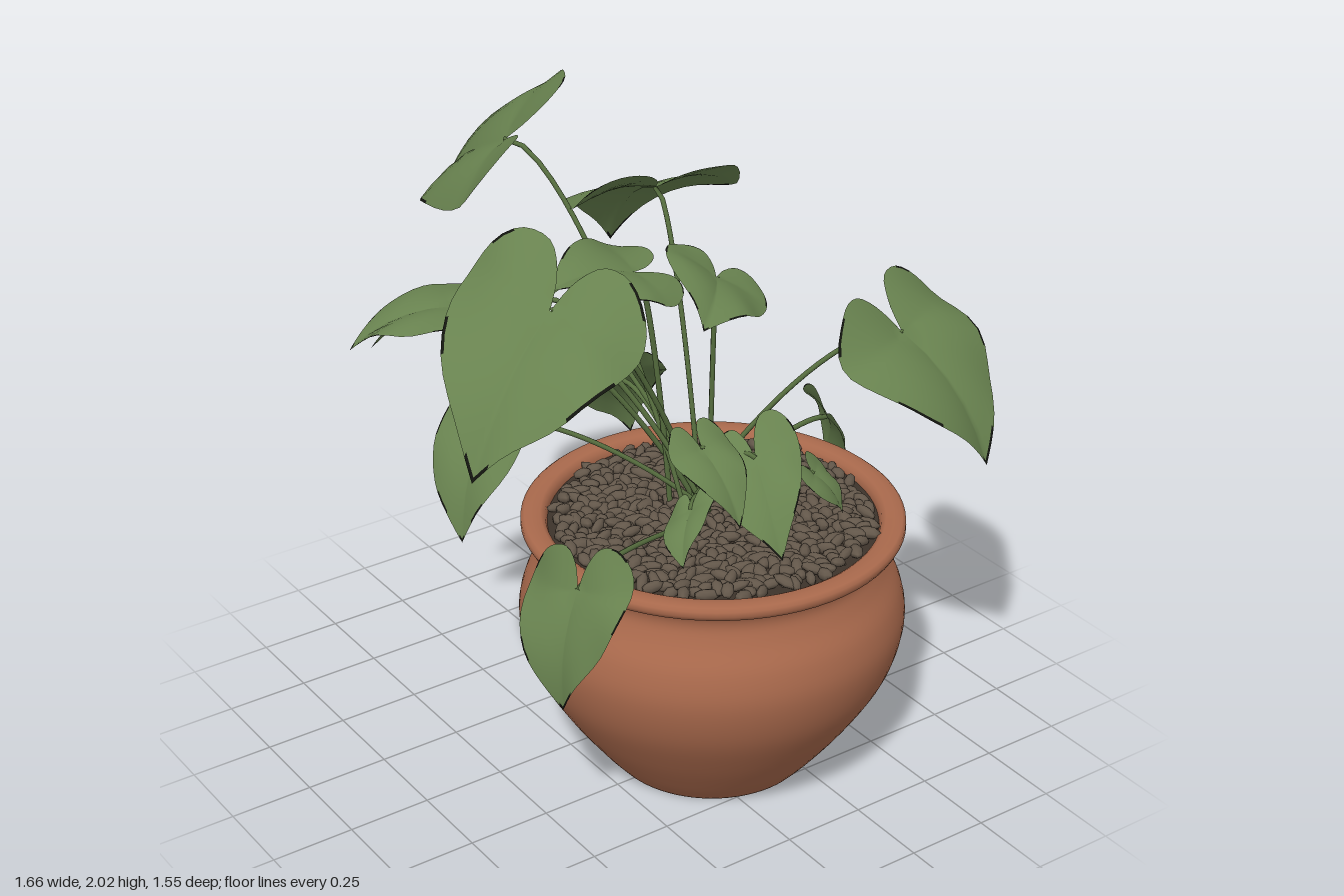
import * as THREE from 'three';
import { mergeGeometries } from 'three/addons/utils/BufferGeometryUtils.js';

const V = (p) => new THREE.Vector3(...p);
const toV2 = (list) => list.map(([x, y]) => new THREE.Vector2(x, y));
const POT = { x: 0.105, z: 0.22 };

const mat = (name, color, side = THREE.FrontSide) => {
  const m = new THREE.MeshStandardMaterial({ color, side });
  m.name = name;
  return m;
};

function seeded(seed) {
  let s = seed;
  return () => (s = (s * 16807) % 2147483647) / 2147483647;
}

// Each leaf: stalk joint, tip, half width and roll about the midrib
const LEAVES = [
  { name: 'topBackLeaf', at: [-0.2, 1.81, -0.37], tip: [-0.17, 1.48, -0.77], width: 0.225, roll: 0.8 },
  { name: 'bigLeftLeaf', at: [-0.47, 1.6, 0.27], tip: [-0.8, 1.25, 0.4], width: 0.28, roll: 0.2 },
  { name: 'upperMiddleLeaf', at: [-0.1, 1.56, 0.12], tip: [-0.38, 1.57, 0.11], width: 0.17, roll: 0.2 },
  { name: 'upperFrontLeaf', at: [0.09, 1.54, 0.24], tip: [-0.09, 1.5, 0.43], width: 0.16, roll: 0.5 },
  { name: 'upperBackLeaf', at: [0.11, 1.69, -0.08], tip: [0.2, 1.38, -0.44], width: 0.245 },
  { name: 'bigRightLeaf', at: [0.56, 1.34, 0.48], tip: [0.67, 1.0, 0.74], width: 0.27, roll: -0.05 },
  { name: 'farLeftLeaf', at: [-0.58, 1.52, -0.05], tip: [-0.83, 1.41, -0.17], width: 0.15 },
  { name: 'backLeftLeaf', at: [-0.38, 1.45, -0.17], tip: [-0.64, 1.27, -0.4], width: 0.215, roll: -0.25 },
  { name: 'lowBackLeaf', at: [-0.08, 1.29, -0.36], tip: [-0.08, 1.0, -0.65], width: 0.16, roll: 0.2 },
  { name: 'hangingLeftLeaf', at: [-0.5, 0.84, 0.43], tip: [-0.57, 0.5, 0.46], width: 0.17, roll: -0.2 },
  { name: 'sideLeftLeaf', at: [-0.43, 1.08, -0.14], tip: [-0.56, 0.77, -0.07], width: 0.15, roll: -0.2 },
  { name: 'lowFrontLeaf', at: [0.13, 1.03, 0.38], tip: [0.08, 0.81, 0.58], width: 0.135, roll: -0.35 },
  { name: 'frontHeartLeaf', at: [-0.14, 1.19, 0.5], tip: [-0.13, 1.02, 0.66], width: 0.1 },
  { name: 'smallFrontLeaf', at: [-0.12, 0.96, 0.42], tip: [-0.2, 0.84, 0.5], width: 0.08, roll: -0.6 },
  { name: 'tinyRightLeaf', at: [0.31, 0.94, 0.42], tip: [0.37, 0.82, 0.48], width: 0.09 },
  { name: 'outerRightLeaf', at: [0.64, 0.87, 0.06], tip: [0.73, 0.67, -0.06], width: 0.12, roll: -1 },
  { name: 'lowBackRightLeaf', at: [0.04, 1.07, -0.17], tip: [0.17, 0.81, -0.29], width: 0.16, roll: 0.45 },
];

// Half outline of a heart leaf: (along midrib, across)
const OUTLINE = new THREE.SplineCurve(toV2([
  [1, 0], [0.8, 0.28], [0.5, 0.72], [0.15, 0.98], [-0.13, 0.95],
  [-0.33, 0.66], [-0.35, 0.32], [-0.2, 0.1], [0, 0],
])).getPoints(28);
const RINGS = [0.2, 0.4, 0.6, 0.8, 0.97, 1];

// Concentric rings of the outline, folded at the midrib and arched to the tip;
// group 0 is the blade, group 1 the withered patches of its margin
function leafGeometry({ at, tip, width, roll = 0 }, phase) {
  const a = V(at), f = V(tip).sub(a);
  const length = f.length();
  const s = new THREE.Vector3(-f.z, 0, f.x).setLength(width * Math.cos(roll));
  s.y = width * Math.sin(roll);
  const n = new THREE.Vector3().crossVectors(s, f).normalize();
  if (n.y < 0) n.negate();
  const edge = [
    ...OUTLINE,
    ...OUTLINE.slice(1, -1).reverse().map((p) => new THREE.Vector2(p.x, -p.y)),
  ];
  const N = edge.length, pos = [...at], blade = [], margin = [];
  RINGS.forEach((k) => edge.forEach((p) => {
    const u = p.x * k, v = p.y * k;
    const arch = u > 0 ? 0.42 * u * (1 - u) * length : 0.15 * u * length;
    const fold = width * (0.3 * Math.abs(v) - 0.36 * v * v);
    const wave = 0.07 * width * k * Math.abs(v) * Math.sin(7 * u + 3 * v + phase);
    const q = a.clone().addScaledVector(f, u).addScaledVector(s, v)
      .addScaledVector(n, arch + fold + wave);
    pos.push(q.x, q.y, q.z);
  }));
  const id = (r, i) => 1 + r * N + (i % N);
  for (let i = 0; i < N; i++) {
    blade.push(0, id(0, i), id(0, i + 1));
    const withered = Math.sin(i * 0.8 + phase) > 0.55 || i === 0 || i === N - 1;
    for (let r = 0; r < RINGS.length - 1; r++) {
      const list = withered && r === RINGS.length - 2 ? margin : blade;
      list.push(id(r, i), id(r + 1, i), id(r + 1, i + 1));
      list.push(id(r, i), id(r + 1, i + 1), id(r, i + 1));
    }
  }
  const g = new THREE.BufferGeometry();
  g.setAttribute('position', new THREE.Float32BufferAttribute(pos, 3));
  g.setIndex([...blade, ...margin]);
  g.addGroup(0, blade.length, 0);
  g.addGroup(blade.length, margin.length, 1);
  g.computeVertexNormals();
  return g;
}

// Stalk rising from the crown and arching over to the leaf joint
function stalkGeometry(leaf, rand) {
  const end = V(leaf.at);
  const base = new THREE.Vector3(0.06 + (rand() - 0.5) * 0.12, 0.77, 0.15 + (rand() - 0.5) * 0.12);
  const rise = end.y - base.y;
  const c1 = base.clone().lerp(end, 0.25).setY(base.y + rise * 0.5);
  const c2 = base.clone().lerp(end, 0.75).setY(end.y + 0.05);
  return new THREE.TubeGeometry(new THREE.CubicBezierCurve3(base, c1, c2, end), 20, 0.008, 6);
}

export function createModel() {
  const group = new THREE.Group();
  const terracotta = mat('terracotta', 0xa9694c);
  const leafGreen = mat('leaf green', 0x68824f, THREE.DoubleSide);
  const witheredBlack = mat('withered black', 0x12140e, THREE.DoubleSide);
  const stalkGreen = mat('stalk green', 0x587040);
  const pebbleBrown = mat('pebble brown', 0x63574a);
  const soilBrown = mat('soil brown', 0x3d332a);
  const add = (name, geometry, material, parent = group) => {
    const m = new THREE.Mesh(geometry, material);
    m.name = name;
    parent.add(m);
    return m;
  };

  // Pot: hollow foot, bellied body, narrow neck and rolled rim
  const foot = toV2([[0, 0.012], [0.27, 0.012], [0.28, 0.001], [0.298, 0]]);
  const body = new THREE.SplineCurve(toV2([
    [0.305, 0.008], [0.36, 0.075], [0.45, 0.2], [0.53, 0.34], [0.562, 0.47],
    [0.547, 0.57], [0.505, 0.65], [0.487, 0.7], [0.497, 0.74], [0.53, 0.757],
  ])).getPoints(45);
  const rim = toV2([[0.546, 0.762], [0.553, 0.775], [0.552, 0.79], [0.542, 0.798], [0.52, 0.8],
    [0.495, 0.798], [0.482, 0.79], [0.476, 0.77], [0.474, 0.7]]);
  const pot = add('pot', new THREE.LatheGeometry([...foot, ...body, ...rim], 72), terracotta);
  pot.position.set(POT.x, 0, POT.z);

  // Soil
  const soil = add('soil', new THREE.CylinderGeometry(0.478, 0.478, 0.04, 48), soilBrown);
  soil.position.set(POT.x, 0.75, POT.z);

  // Pebbles scattered on a sunflower spiral
  const rand = seeded(77);
  const pebbles = [];
  const COUNT = 560;
  for (let i = 0; i < COUNT; i++) {
    const r = 0.455 * Math.sqrt((i + 0.5) / COUNT), t = i * 2.39996 + rand() * 0.04;
    const g = new THREE.SphereGeometry(1, 7, 5);
    g.scale(0.026 + rand() * 0.016, 0.013 + rand() * 0.005, 0.014 + rand() * 0.008);
    g.rotateZ((rand() - 0.5) * 0.7);
    g.rotateY(rand() * Math.PI * 2);
    g.translate(POT.x + r * Math.cos(t), 0.774 + rand() * 0.018, POT.z + r * Math.sin(t));
    pebbles.push(g);
  }
  add('pebbles', mergeGeometries(pebbles), pebbleBrown);

  // Leaves with their stalks
  const plant = new THREE.Group();
  plant.name = 'plant';
  group.add(plant);
  LEAVES.forEach((leaf, i) => {
    add(leaf.name, leafGeometry(leaf, i * 1.7), [leafGreen, witheredBlack], plant);
    add(leaf.name + 'Stalk', stalkGeometry(leaf, rand), stalkGreen, plant);
  });

  return group;
}
